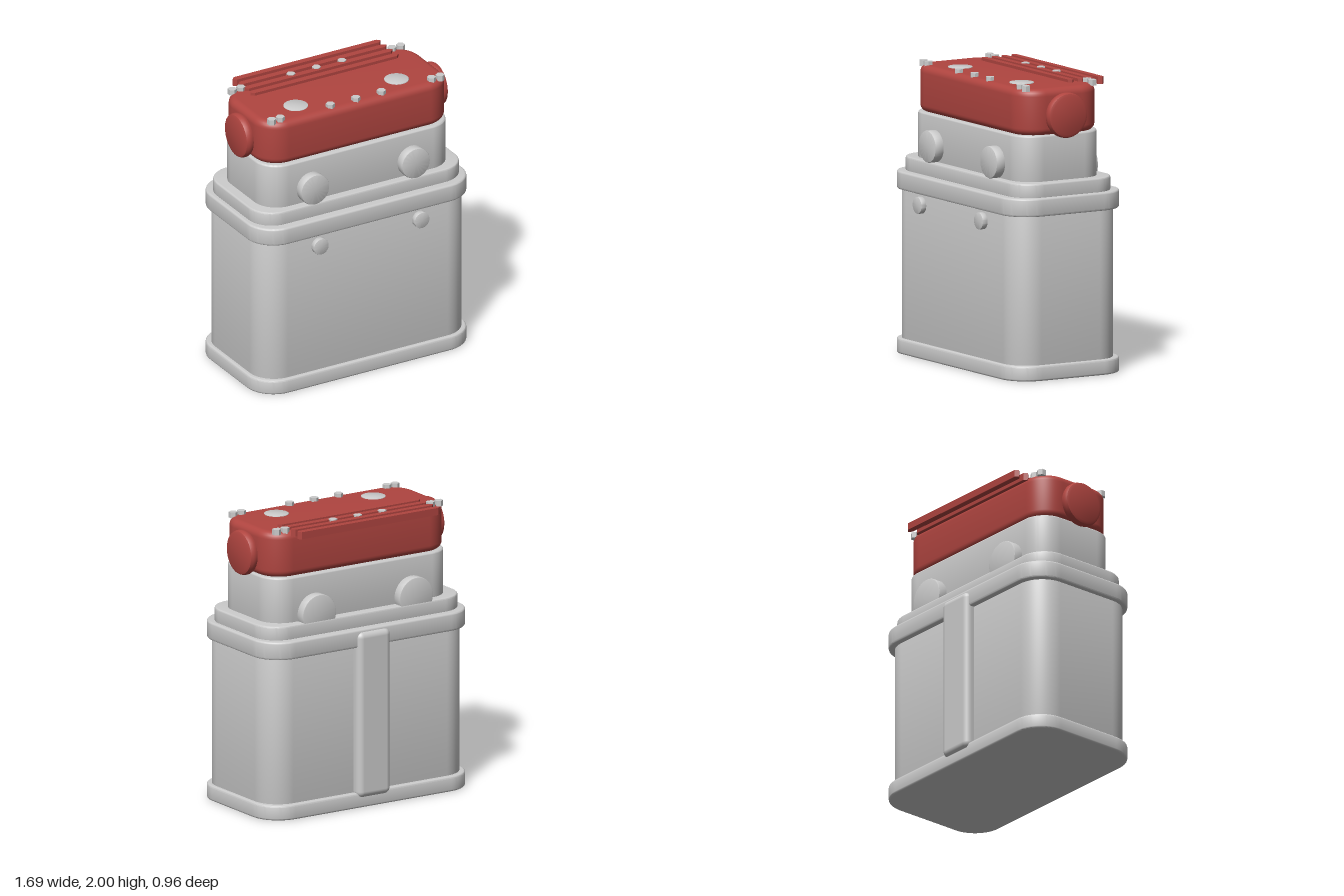
import * as THREE from 'three';
import { toCreasedNormals } from 'three/addons/utils/BufferGeometryUtils.js';
import { RoundedBoxGeometry } from 'three/addons/geometries/RoundedBoxGeometry.js';

const grey = new THREE.MeshStandardMaterial({ color: 0xcccccc });
const red = new THREE.MeshStandardMaterial({ color: 0xb04540 });

// Upright slab with rounded plan corners and bevelled top and bottom rims
function slab(w, d, y0, y1, radius, bevel, steps = 3) {
  const x = w / 2 - bevel, z = d / 2 - bevel, r = radius - bevel;
  const s = new THREE.Shape();
  s.moveTo(-x + r, -z);
  s.lineTo(x - r, -z);
  s.absarc(x - r, -z + r, r, -Math.PI / 2, 0);
  s.lineTo(x, z - r);
  s.absarc(x - r, z - r, r, 0, Math.PI / 2);
  s.lineTo(-x + r, z);
  s.absarc(-x + r, z - r, r, Math.PI / 2, Math.PI);
  s.lineTo(-x, -z + r);
  s.absarc(-x + r, -z + r, r, Math.PI, Math.PI * 1.5);
  const g = new THREE.ExtrudeGeometry(s, {
    depth: y1 - y0 - 2 * bevel, bevelEnabled: true, bevelSize: bevel,
    bevelThickness: bevel, bevelSegments: steps, curveSegments: 12,
  });
  g.rotateX(-Math.PI / 2);
  g.translate(0, y0 + bevel, 0);
  return toCreasedNormals(g, 0.6);
}

// Disc with a softened rim, base at the origin and axis along +y
function disc(r, h, b) {
  const pts = [[0, 0], [r - b, 0], [r - b * 0.3, b * 0.3], [r, b], [r, h - b],
    [r - b * 0.3, h - b * 0.3], [r - b, h], [0, h]].map(p => new THREE.Vector2(...p));
  return toCreasedNormals(new THREE.LatheGeometry(pts, 40), 0.5);
}

export function createModel() {
  const model = new THREE.Group();
  const add = (name, geometry, material, x = 0, y = 0, z = 0) => {
    const m = new THREE.Mesh(geometry, material);
    m.name = name;
    m.position.set(x, y, z);
    model.add(m);
    return m;
  };

  // Stacked housing
  add('baseFlange', slab(1.69, 0.91, 0, 0.105, 0.21, 0.014), grey);
  add('body', slab(1.63, 0.84, 0.08, 1.15, 0.19, 0.01), grey, 0, 0, 0.005);
  add('upperFlange', slab(1.69, 0.91, 1.125, 1.25, 0.21, 0.014), grey);
  add('step', slab(1.62, 0.785, 1.24, 1.345, 0.18, 0.012), grey);
  add('head', slab(1.47, 0.66, 1.33, 1.66, 0.17, 0.014), grey, 0, 0, 0.005);
  add('cover', slab(1.47, 0.635, 1.655, 1.975, 0.18, 0.05, 6), red, 0, 0, 0.005);

  // Vertical duct on the back
  add('backDuct', new RoundedBoxGeometry(0.27, 1.165, 0.14, 4, 0.045), grey, 0, 0.6525, -0.41);

  for (const side of [-1, 1]) {
    const x = side * 0.395;

    // Round end caps of the cover
    const cap = add(side > 0 ? 'leftEndCap' : 'rightEndCap', disc(0.155, 0.07, 0.025), red, side * 0.725, 1.79, 0.005);
    cap.rotation.z = -side * Math.PI / 2;

    // Front ports, rear ports and small front plugs
    add('frontPort', disc(0.11, 0.08, 0.008), grey, x, 1.45, 0.32).rotation.x = Math.PI / 2;
    add('rearPort', disc(0.137, 0.09, 0.008), grey, x, 1.388, -0.3).rotation.x = -Math.PI / 2;
    add('frontPlug', disc(0.058, 0.04, 0.003), grey, x, 1.055, 0.44).rotation.x = Math.PI / 2;

    // Filler discs on top
    add('fillerDisc', disc(0.084, 0.02, 0.003), grey, x, 1.96, 0.135);
  }

  // Hexagonal bolts along both long edges
  const bolt = toCreasedNormals(new THREE.CylinderGeometry(0.031, 0.031, 0.04, 6), 0.3);
  for (const z of [-0.262, 0.265])
    for (const x of [-0.66, -0.593, -0.2, 0, 0.2, 0.593, 0.66])
      add('bolt', bolt, grey, x, 1.98, z);

  // Long rails with pointed ends
  const plan = new THREE.Shape([[-0.58, 0], [-0.558, -0.022], [0.558, -0.022],
    [0.58, 0], [0.558, 0.022], [-0.558, 0.022]].map(p => new THREE.Vector2(...p)));
  const rail = new THREE.ExtrudeGeometry(plan, { depth: 0.05, bevelEnabled: false });
  rail.rotateX(-Math.PI / 2);
  for (const z of [-0.393, -0.314, -0.235, -0.156]) add('rail', rail, red, 0, 1.945, z);

  return model;
}
